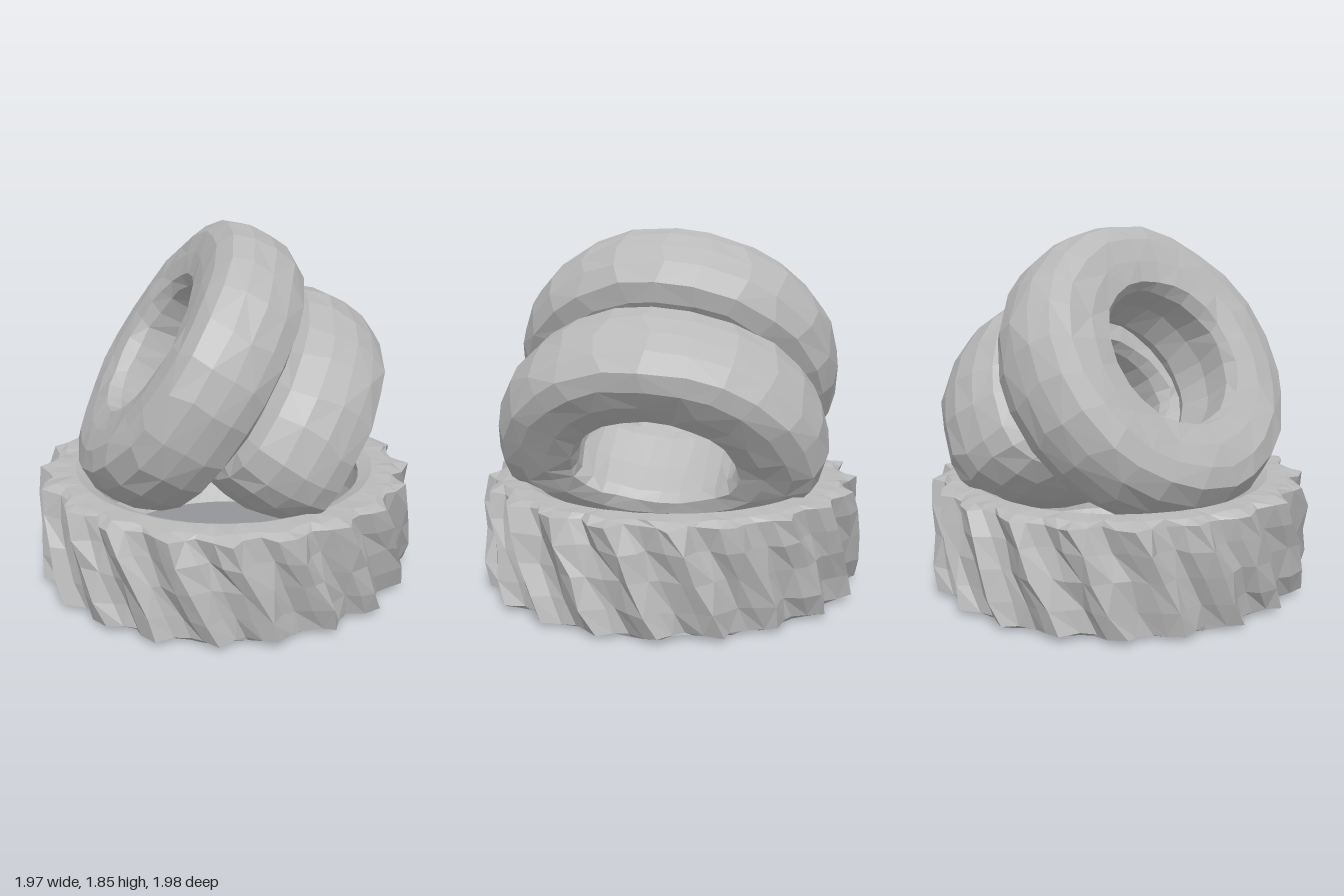
import * as THREE from 'three';

const rubber = new THREE.MeshStandardMaterial({ color: 0xb9b9b9, flatShading: true });
rubber.name = 'greyRubber';

// Small seeded generator, centred on zero
function seeded(seed) {
  let s = seed;
  return () => {
    s = (s * 16807) % 2147483647;
    return s / 2147483647 - 0.5;
  };
}

// Sweeps a closed section round the y axis; at(i, j) gives the point [x, y, z]
function sweep(name, rows, columns, at) {
  const positions = [], index = [];
  for (let j = 0; j < columns; j++) {
    for (let i = 0; i < rows; i++) positions.push(...at(i, j));
  }
  for (let j = 0; j < columns; j++) {
    const k = (j + 1) % columns;
    for (let i = 0; i < rows; i++) {
      const n = (i + 1) % rows;
      const a = j * rows + i, b = j * rows + n, c = k * rows + i, d = k * rows + n;
      if ((i + j) % 2) index.push(a, b, c, b, d, c);
      else index.push(a, b, d, a, d, c);
    }
  }
  const geometry = new THREE.BufferGeometry();
  geometry.setAttribute('position', new THREE.Float32BufferAttribute(positions, 3));
  geometry.setIndex(index);
  const faceted = geometry.toNonIndexed();
  faceted.computeVertexNormals();
  const mesh = new THREE.Mesh(faceted, rubber);
  mesh.name = name;
  return mesh;
}

// Plain worn tyre, squashed along its leaning direction above and below its centre
function leaningTyre({ name, seed, x, y, squashUp, squashDown, upperSide }) {
  const half = [[0.4, -0.17], [0.43, -0.23], [0.55, -0.25], [0.68, -0.25], [0.78, -0.21], [0.83, -0.11]];
  const section = [...half, [0.845, 0], ...half.map(([r, h]) => [r, -h]).reverse(), [0.42, 0]];
  const columns = 24, random = seeded(seed);
  const tyre = sweep(name, section.length, columns, (i, j) => {
    const r = section[i][0] + random() * 0.014;
    const h = section[i][1] + random() * 0.014;
    const a = ((j + random() * 0.35) / columns) * Math.PI * 2;
    const along = r * Math.cos(a);
    return [along * (along > 0 ? squashUp : squashDown), h > 0 ? h * upperSide : h, r * Math.sin(a)];
  });
  tyre.position.set(x, y, 0);
  tyre.rotation.z = 0.99;
  return tyre;
}

// Flat tyre with slanted, rough lugs
function treadedTyre() {
  // radius, height, lug height (0 = plain)
  const section = [
    [0.69, 0.05, 0], [0.78, 0.018, 0], [0.87, 0.025, 0.03],
    [0.895, 0.045, 0.08], [0.905, 0.16, 0.08], [0.915, 0.31, 0.065],
    [0.905, 0.45, 0.08], [0.895, 0.57, 0.08], [0.87, 0.592, 0.03],
    [0.78, 0.597, 0], [0.71, 0.565, 0],
    [0.75, 0.46, 0], [0.76, 0.31, 0], [0.75, 0.16, 0],
  ];
  const lug = [1, 0.55, 0, 0.25];
  const columns = 20 * lug.length, random = seeded(77);
  return sweep('treadedBaseTyre', section.length, columns, (i, j) => {
    const [r, h, height] = section[i];
    const rough = height ? 0.024 : 0.004;
    const radius = Math.min(r + height * lug[j % lug.length] + random() * rough, 0.995);
    const a = (j / columns) * Math.PI * 2 + (h - 0.31) * 0.5 + random() * (height ? 0.045 : 0.01);
    return [radius * Math.cos(a), Math.max(0, h + random() * rough * 0.7), radius * Math.sin(a)];
  });
}

export function createModel() {
  const model = new THREE.Group();
  model.name = 'tyrePile';
  model.add(
    treadedTyre(),
    leaningTyre({
      name: 'upperLeaningTyre', seed: 11, x: -0.19, y: 1.15,
      squashUp: 0.93, squashDown: 0.93, upperSide: 1,
    }),
    // Sunk into the base tyre, its lower half pressed flat
    leaningTyre({
      name: 'lowerLeaningTyre', seed: 29, x: 0.245, y: 0.82,
      squashUp: 0.87, squashDown: 0.5, upperSide: 1.18,
    }),
  );
  return model;
}
